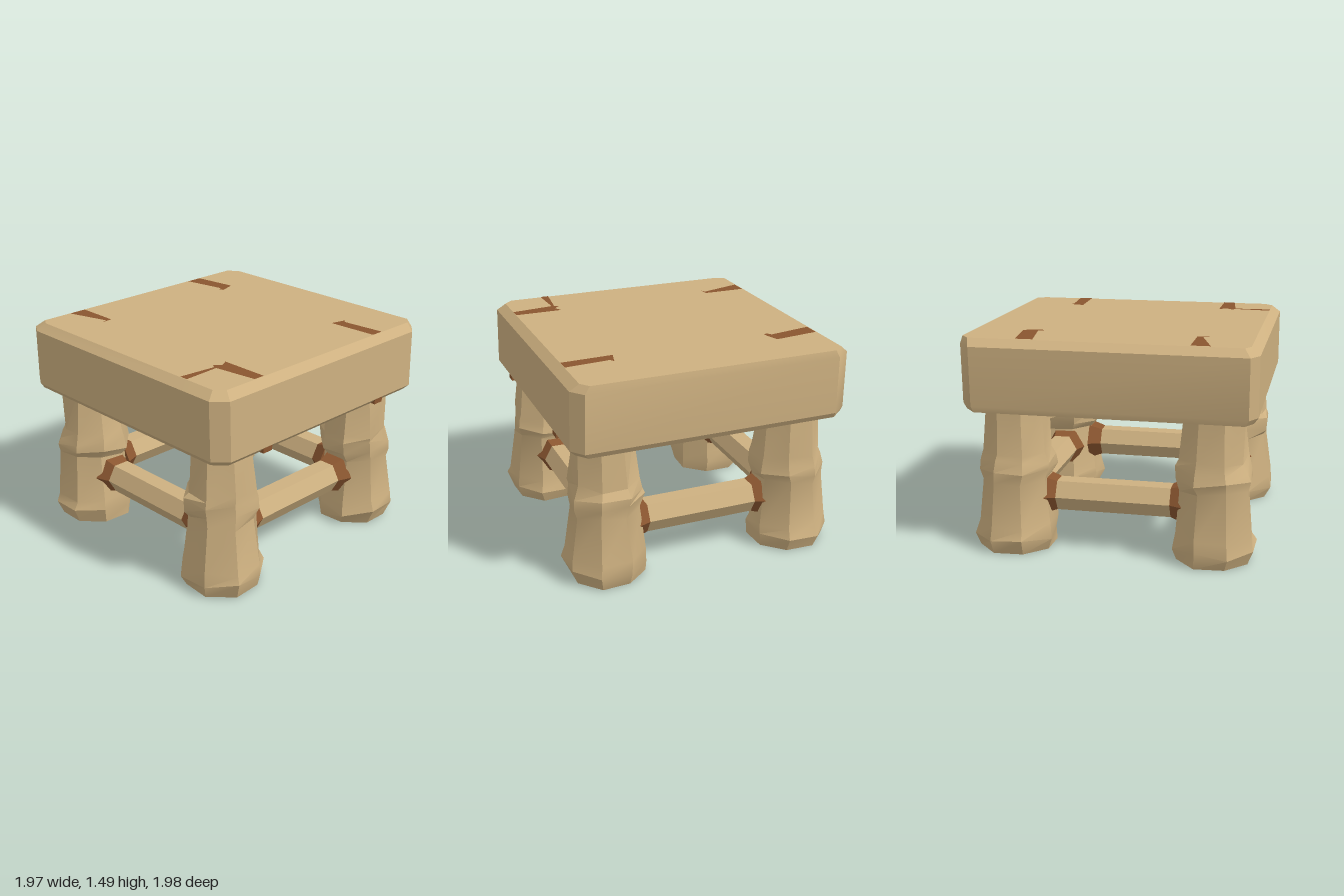
import * as THREE from 'three';
import { toCreasedNormals } from 'three/addons/utils/BufferGeometryUtils.js';

const wood = new THREE.MeshStandardMaterial({ color: 0xcdb080 });
const bark = new THREE.MeshStandardMaterial({ color: 0x8a5630 });

function add(parent, name, geometry, material) {
  const mesh = new THREE.Mesh(geometry, material);
  mesh.name = name;
  parent.add(mesh);
  return mesh;
}

// Skin stacked rings of [x, y, z] points (bottom to top) and cap both ends.
function loft(rings, crease) {
  const pos = [];
  const n = rings[0].length;
  const centre = (r) => [0, 1, 2].map((k) => r.reduce((s, p) => s + p[k], 0) / n);
  const tri = (...p) => p.forEach((q) => pos.push(...q));
  const bottom = rings[0], top = rings[rings.length - 1];
  for (let i = 0; i < n; i++) {
    const j = (i + 1) % n;
    for (let r = 0; r < rings.length - 1; r++) {
      const lo = rings[r], hi = rings[r + 1];
      tri(lo[i], hi[i], lo[j]);
      tri(lo[j], hi[i], hi[j]);
    }
    tri(centre(bottom), bottom[i], bottom[j]);
    tri(centre(top), top[j], top[i]);
  }
  const g = new THREE.BufferGeometry();
  g.setAttribute('position', new THREE.Float32BufferAttribute(pos, 3));
  return toCreasedNormals(g, crease);
}

// Rectangle with its corners cut off, running from +x towards +z.
function cutRect(y, x0, x1, z0, z1, c) {
  return [
    [x1, y, z1 - c], [x1 - c, y, z1], [x0 + c, y, z1], [x0, y, z1 - c * 0.6],
    [x0, y, z0 + c], [x0 + c * 1.2, y, z0], [x1 - c * 0.8, y, z0], [x1, y, z0 + c],
  ];
}

// Flat polygon facing up, given as [x, z] points.
function flatPatch(points, y) {
  const g = new THREE.ShapeGeometry(new THREE.Shape(points.map(([x, z]) => new THREE.Vector2(x, -z))));
  return g.rotateX(-Math.PI / 2).translate(0, y, 0);
}

// Hewn log: each row is height, inner limit and outer limit.
const legRows = [
  [0, 0.45, 0.93], [0.1, 0.43, 0.97], [0.18, 0.44, 0.95], [0.5, 0.475, 0.915],
  [0.57, 0.44, 0.925], [0.64, 0.445, 0.915], [0.7, 0.46, 0.895], [1.02, 0.485, 0.875],
];

function legGeometry(sx, sz, seed) {
  let s = seed;
  const rand = () => (s = (s * 16807) % 2147483647) / 2147483647 - 0.5;
  rand();
  const rings = legRows.map(([y, inner, outer]) => {
    const mid = (inner + outer) / 2;
    const radius = (outer - inner) / 2 / Math.cos(Math.PI / 8);
    return Array.from({ length: 8 }, (_, i) => {
      const a = (i + 0.5) * Math.PI / 4;
      const r = radius + rand() * 0.035;
      const lift = y > 0 && y < 1 ? rand() * 0.05 : 0;
      return [sx * mid + r * Math.cos(a), y + lift, sz * mid + r * Math.sin(a)];
    });
  });
  return loft(rings, 0.5);
}

// Six-sided bar lying along x with flared dark ends.
function makeRung(name) {
  const rung = new THREE.Group();
  rung.name = name;
  const bar = new THREE.CylinderGeometry(0.118, 0.118, 0.8, 6).toNonIndexed();
  add(rung, 'rungBar', toCreasedNormals(bar.rotateZ(Math.PI / 2), 0.5), wood);
  for (const side of [-1, 1]) {
    const flare = new THREE.CylinderGeometry(0.118, 0.155, 0.1, 6).toNonIndexed();
    flare.rotateZ(side * Math.PI / 2).translate(side * 0.445, 0, 0);
    add(rung, 'rungEnd', toCreasedNormals(flare, 0.5), bark);
  }
  return rung;
}

export function createModel() {
  const model = new THREE.Group();
  model.name = 'stool';

  // Thick slab seat with worn edges
  add(model, 'seat', loft([
    cutRect(1.0, -0.97, 0.94, -0.97, 0.95, 0.08),
    cutRect(1.04, -0.98, 0.98, -0.995, 0.98, 0.09),
    cutRect(1.44, -0.98, 0.97, -1.0, 0.98, 0.09),
    cutRect(1.49, -0.92, 0.91, -0.99, 0.92, 0.06),
  ], 0.45), wood);

  // Dark inlays on the seat top
  const inlays = [
    [[-0.91, -0.61], [-0.59, -0.65], [-0.55, -0.53], [-0.58, -0.51], [-0.6, -0.545], [-0.91, -0.49]],
    [[0.58, -0.64], [0.6, -0.61], [0.91, -0.635], [0.91, -0.54], [0.55, -0.525]],
    [[-0.91, 0.54], [-0.6, 0.54], [-0.59, 0.62], [-0.61, 0.58], [-0.91, 0.67]],
    [[0.57, 0.54], [0.91, 0.54], [0.91, 0.62], [0.61, 0.66], [0.62, 0.92], [0.56, 0.92],
      [0.59, 0.66], [0.56, 0.64], [0.6, 0.6]],
  ];
  inlays.forEach((p) => add(model, 'seatInlay', flatPatch(p, 1.493), bark));

  // Dark strips under the seat, with ends showing at its edge
  for (const z of [-0.56, 0.56]) {
    const strip = add(model, 'underStrip', new THREE.BoxGeometry(1.86, 0.012, 0.07), bark);
    strip.position.set(0, 1.0, z);
    const end = add(model, 'stripEnd', new THREE.BoxGeometry(0.06, 0.04, 0.08), bark);
    end.position.set(0.945, 1.02, z);
  }

  // Four legs, each hewn a little differently
  let seed = 4211;
  for (const sz of [1, -1]) {
    for (const sx of [1, -1]) {
      add(model, (sz > 0 ? 'front' : 'back') + (sx > 0 ? 'Left' : 'Right') + 'Leg',
        legGeometry(sx, sz, seed), wood);
      seed += 7919;
    }
  }

  // Rungs joining neighbouring legs
  ['frontRung', 'leftRung', 'backRung', 'rightRung'].forEach((name, i) => {
    const rung = makeRung(name);
    const a = i * Math.PI / 2;
    rung.rotation.y = a;
    rung.position.set(0.67 * Math.sin(a), i % 2 ? 0.375 : 0.36, 0.67 * Math.cos(a));
    model.add(rung);
  });

  return model;
}
